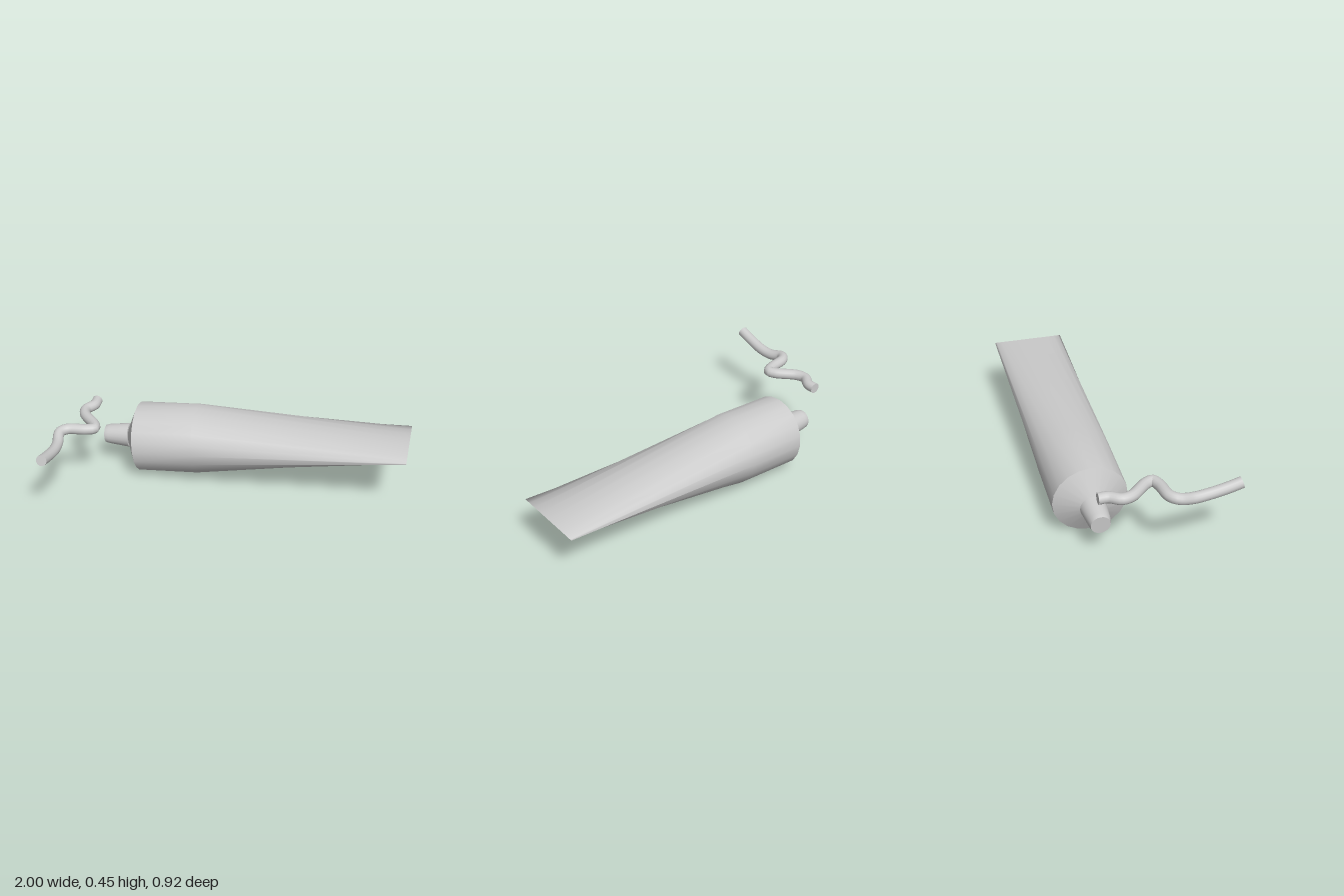
import * as THREE from 'three';

const SIDES = 20;
const TILT = 0.08;   // the tube's axis rises gently toward its crimped end
const CZ = -0.25;    // depth of the tube's axis
const material = new THREE.MeshStandardMaterial({ color: 0xcccccc, side: THREE.DoubleSide });

// Skin over elliptical rings [x, y, halfHeight, halfWidth], listed along +x
function loft(name, rings) {
  const pos = [], index = [];
  for (const [x, y, h, w] of rings) {
    for (let j = 0; j < SIDES; j++) {
      const a = (j / SIDES) * Math.PI * 2;
      const up = Math.cos(a) * h;
      pos.push(x - up * Math.sin(TILT), y + up * Math.cos(TILT), CZ + Math.sin(a) * w);
    }
  }
  for (let i = 0; i < rings.length - 1; i++) {
    for (let j = 0; j < SIDES; j++) {
      const a = i * SIDES + j, b = i * SIDES + (j + 1) % SIDES;
      index.push(a, b, a + SIDES, b, b + SIDES, a + SIDES);
    }
  }
  const geo = new THREE.BufferGeometry();
  geo.setAttribute('position', new THREE.Float32BufferAttribute(pos, 3));
  geo.setIndex(index);
  geo.computeVertexNormals();
  const mesh = new THREE.Mesh(geo, material);
  mesh.name = name;
  return mesh;
}

// Squeezed-out strand: a winding tube with closed ends
function createPaste() {
  const group = new THREE.Group();
  group.name = 'pasteStrand';
  const radius = 0.031;
  const curve = new THREE.CatmullRomCurve3([
    [-0.867, 0.405, -0.28], [-0.867, 0.405, -0.225], [-0.9, 0.405, -0.165],
    [-0.888, 0.405, -0.11], [-0.8, 0.405, -0.01], [-0.786, 0.405, 0.03],
    [-0.83, 0.405, 0.052], [-0.935, 0.406, 0.072], [-0.968, 0.402, 0.11],
    [-0.954, 0.382, 0.19], [-0.947, 0.385, 0.27], [-0.949, 0.406, 0.37], [-0.951, 0.43, 0.452],
  ].map((p) => new THREE.Vector3(...p)));
  const strand = new THREE.Mesh(new THREE.TubeGeometry(curve, 64, radius, 14), material);
  strand.name = 'strand';
  group.add(strand);
  for (const [t, dir] of [[0, -1], [1, 1]]) {
    const cap = new THREE.Mesh(new THREE.CircleGeometry(radius, 14), material);
    cap.name = 'strandEnd';
    cap.position.copy(curve.getPointAt(t));
    cap.lookAt(cap.position.clone().addScaledVector(curve.getTangentAt(t), dir));
    group.add(cap);
  }
  return group;
}

export function createModel() {
  const model = new THREE.Group();
  const tube = new THREE.Group();
  tube.name = 'squeezeTube';

  // Round body flattening to a sharp crimp
  const shoulderRing = [-0.593, 0.21, 0.206, 0.206];
  tube.add(loft('body', [
    shoulderRing,
    [-0.235, 0.239, 0.205, 0.207],
    [1, 0.36, 0, 0.21],
  ]));

  // Conical shoulder, then the tapered nozzle and its end face
  tube.add(loft('shoulder', [[-0.66, 0.204, 0.06, 0.06], shoulderRing]));
  const tip = [-0.812, 0.196, 0.053, 0.053];
  tube.add(loft('nozzle', [tip, [-0.785, 0.199, 0.06, 0.06], [-0.662, 0.204, 0.072, 0.072]]));
  tube.add(loft('nozzleEnd', [[-0.812, 0.196, 0, 0], tip]));
  tube.add(loft('nozzleBase', [[-0.662, 0.204, 0.072, 0.072], [-0.66, 0.204, 0.05, 0.05]]));

  model.add(tube, createPaste());
  return model;
}
